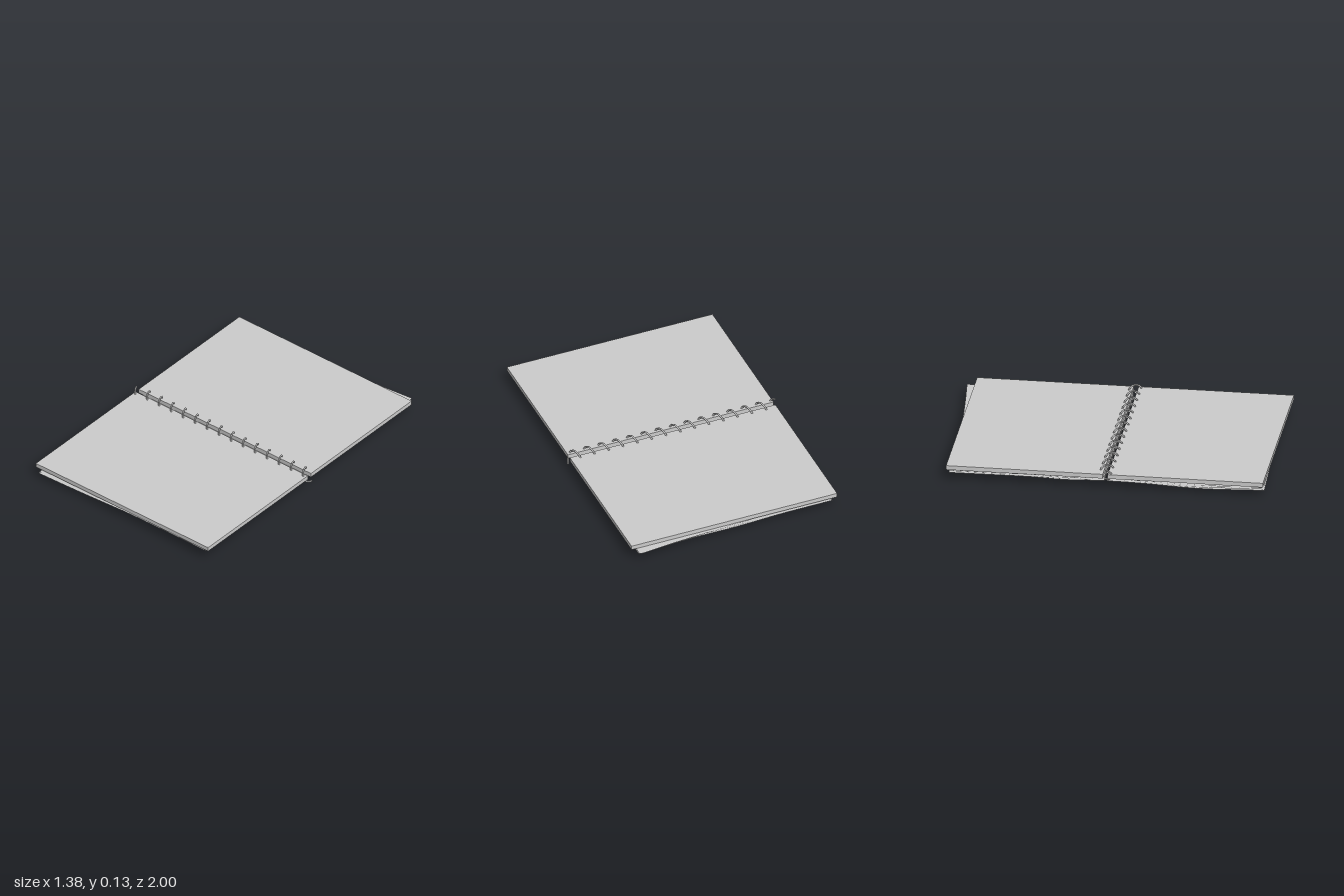
import * as THREE from 'three';

const grey = new THREE.MeshStandardMaterial({ color: 0xcccccc });
const paper = new THREE.MeshStandardMaterial({ color: 0xcccccc, side: THREE.DoubleSide });

const SHEETS = 10;
const PAGE_TOP = 0.067;
const bump = (v, centre, width) => Math.exp(-(((v - centre) / width) ** 2));

// Underside of each page stack, as a height over x and z
const backUnderside = (x, z) =>
  0.042 - 0.008 * bump(z, -0.22, 0.15) - 0.041 * bump(x, -0.02, 0.22) * bump(z, -0.72, 0.17);
const frontUnderside = (x, z) =>
  0.044 - 0.016 * bump(z, 0.6, 0.3) + 0.004 * Math.sin(x * 4);

// One wavy sheet; t runs from 0 (against the cover) to 1 (outermost)
function makeSheet(name, t, index, spineZ, edgeZ, underside) {
  const geometry = new THREE.PlaneGeometry(1, 1, 28, 28);
  geometry.rotateX(-Math.PI / 2);
  const p = geometry.attributes.position;
  for (let i = 0; i < p.count; i++) {
    const u = p.getX(i) + 0.5;
    const v = p.getZ(i) + 0.5;
    const x = -0.645 + u * 1.275 + 0.008 * Math.sin(index * 2.3 + v * 3) * v;
    const z = spineZ + (edgeZ(x, t) - spineZ) * v;
    const ripple = 0.002 * Math.sin(x * 9 + index * 1.7) * Math.sin(z * 8 + index) * Math.sin(Math.PI * t);
    p.setXYZ(i, x, PAGE_TOP - t * (PAGE_TOP - underside(x, z)) + ripple, z);
  }
  geometry.computeVertexNormals();
  const mesh = new THREE.Mesh(geometry, paper);
  mesh.name = name;
  return mesh;
}

// Stack of loose sheets hanging under one cover
function makePages(name, spineZ, edgeZ, underside) {
  const pages = new THREE.Group();
  pages.name = name;
  for (let i = 0; i < SHEETS; i++) {
    pages.add(makeSheet('sheet', i / (SHEETS - 1), i, spineZ, edgeZ, underside));
  }
  return pages;
}

function makeCover(name, z0, z1) {
  const cover = new THREE.Mesh(new THREE.BoxGeometry(1.35, 0.027, z1 - z0), grey);
  cover.name = name;
  cover.position.set(-0.003, 0.0835, (z0 + z1) / 2);
  return cover;
}

// Wire helix along the spine
class Helix extends THREE.Curve {
  getPoint(s, target = new THREE.Vector3()) {
    const x = -0.682 + 1.364 * s;
    const angle = ((x + 0.59) / 0.094) * Math.PI * 2;
    return target.set(x, 0.087 + 0.037 * Math.cos(angle), 0.026 + 0.037 * Math.sin(angle));
  }
}

export function createModel() {
  const model = new THREE.Group();
  model.name = 'openNotebook';

  model.add(makeCover('backCover', -0.945, 0.012));
  model.add(makeCover('frontCover', 0.042, 0.99));

  // Upper sheets of the back stack fan out past the cover at one corner
  const backEdge = (x, t) =>
    -0.932 - 0.068 * (1 - 0.6 * t) * THREE.MathUtils.clamp((x + 0.35) / 0.97, 0, 1) ** 1.5;
  const frontEdge = (x, t) =>
    0.968 + 0.027 * t * THREE.MathUtils.clamp(-x / 0.64, 0, 1);
  model.add(makePages('backPages', 0.018, backEdge, backUnderside));
  model.add(makePages('frontPages', 0.034, frontEdge, frontUnderside));

  const coil = new THREE.Mesh(new THREE.TubeGeometry(new Helix(), 340, 0.0055, 8, false), grey);
  coil.name = 'spiralBinding';
  model.add(coil);

  // Caps on the wire ends
  for (const s of [0, 1]) {
    const cap = new THREE.Mesh(new THREE.SphereGeometry(0.0055, 8, 6), grey);
    cap.name = 'wireEnd';
    cap.position.copy(new Helix().getPoint(s));
    model.add(cap);
  }
  return model;
}
